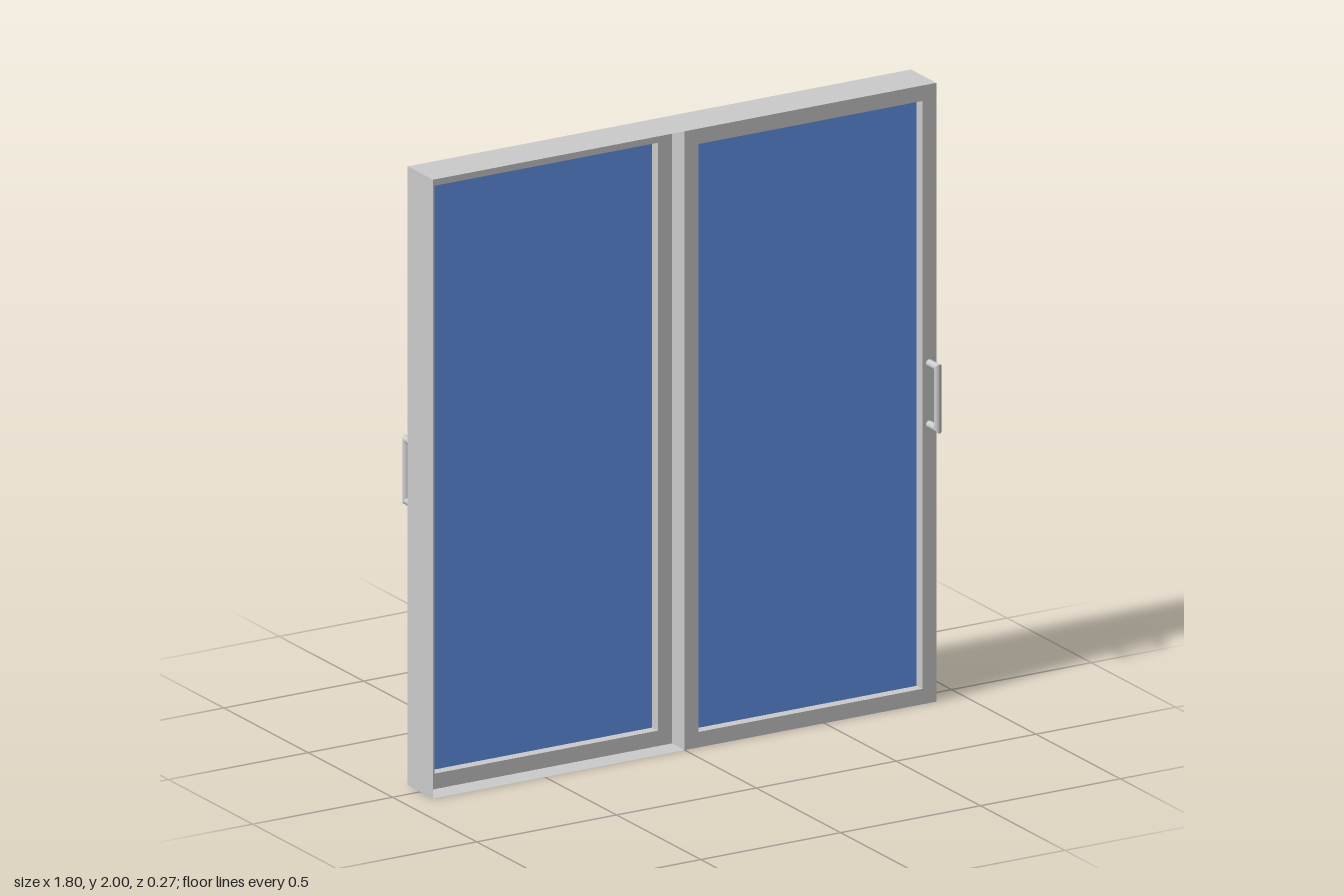
import * as THREE from 'three';

const W = 0.9, H = 2, D = 0.075, RAIL = 0.05;
const grey = new THREE.MeshStandardMaterial({ color: 0xcccccc });
const greyThin = new THREE.MeshStandardMaterial({ color: 0xcccccc, side: THREE.DoubleSide });
const blue = new THREE.MeshStandardMaterial({ color: 0x6495ed });

function add(parent, name, geometry, material, x, y, z) {
  const mesh = new THREE.Mesh(geometry, material);
  mesh.name = name;
  mesh.position.set(x, y, z);
  parent.add(mesh);
  return mesh;
}

// Round bar along y; each end is slanted by its slope for mitred corners
function mitredBar(radius, length, topSlope, bottomSlope) {
  const geo = new THREE.CylinderGeometry(radius, radius, length, 24);
  const p = geo.attributes.position;
  for (let i = 0; i < p.count; i++) {
    const slope = p.getY(i) > 0 ? topSlope : bottomSlope;
    p.setY(i, p.getY(i) + slope * p.getZ(i));
  }
  return geo;
}

// Square-cornered pull handle: one grip and two standoffs
function makeHandle() {
  const handle = new THREE.Group();
  handle.name = 'handle';
  const r = 0.012, half = 0.099, reach = 0.05;
  add(handle, 'grip', mitredBar(r, half * 2, 1, -1), grey, 0, 0, reach);
  for (const s of [1, -1]) {
    const post = add(handle, 'standoff', mitredBar(r, reach, -s, 0), grey, 0, s * half, reach / 2);
    post.rotation.x = Math.PI / 2;
  }
  return handle;
}

// Half of the door: a sliding panel with the open track behind it
function makeHalf() {
  const half = new THREE.Group();

  // Sliding panel frame with a rectangular opening
  const shape = new THREE.Shape();
  shape.moveTo(0, 0).lineTo(W, 0).lineTo(W, H).lineTo(0, H).closePath();
  const hole = new THREE.Path();
  hole.moveTo(RAIL, RAIL).lineTo(RAIL, H - RAIL).lineTo(W - RAIL, H - RAIL).lineTo(W - RAIL, RAIL).closePath();
  shape.holes.push(hole);
  add(half, 'panelFrame', new THREE.ExtrudeGeometry(shape, { depth: D, bevelEnabled: false }), grey, 0, 0, 0);

  // Glass pane in the middle of the frame
  add(half, 'glass', new THREE.BoxGeometry(W - 2 * RAIL, H - 2 * RAIL, 0.006), blue, W / 2, H / 2, D / 2);

  // Thin outer casing around the free track
  for (const [name, y] of [['trackSill', 0], ['trackHead', H]]) {
    add(half, name, new THREE.PlaneGeometry(W, D).rotateX(-Math.PI / 2), greyThin, W / 2, y, -D / 2);
  }
  add(half, 'trackJamb', new THREE.PlaneGeometry(D, H).rotateY(Math.PI / 2), greyThin, W, H / 2, -D / 2);

  const handle = makeHandle();
  handle.position.set(W - RAIL / 2, 1, D);
  half.add(handle);
  return half;
}

export function createModel() {
  const door = new THREE.Group();
  door.name = 'slidingDoor';
  const front = makeHalf();
  front.name = 'frontPanel';
  // The rear panel is the same half turned around
  const back = makeHalf();
  back.name = 'backPanel';
  back.rotation.y = Math.PI;
  door.add(front, back);
  return door;
}
